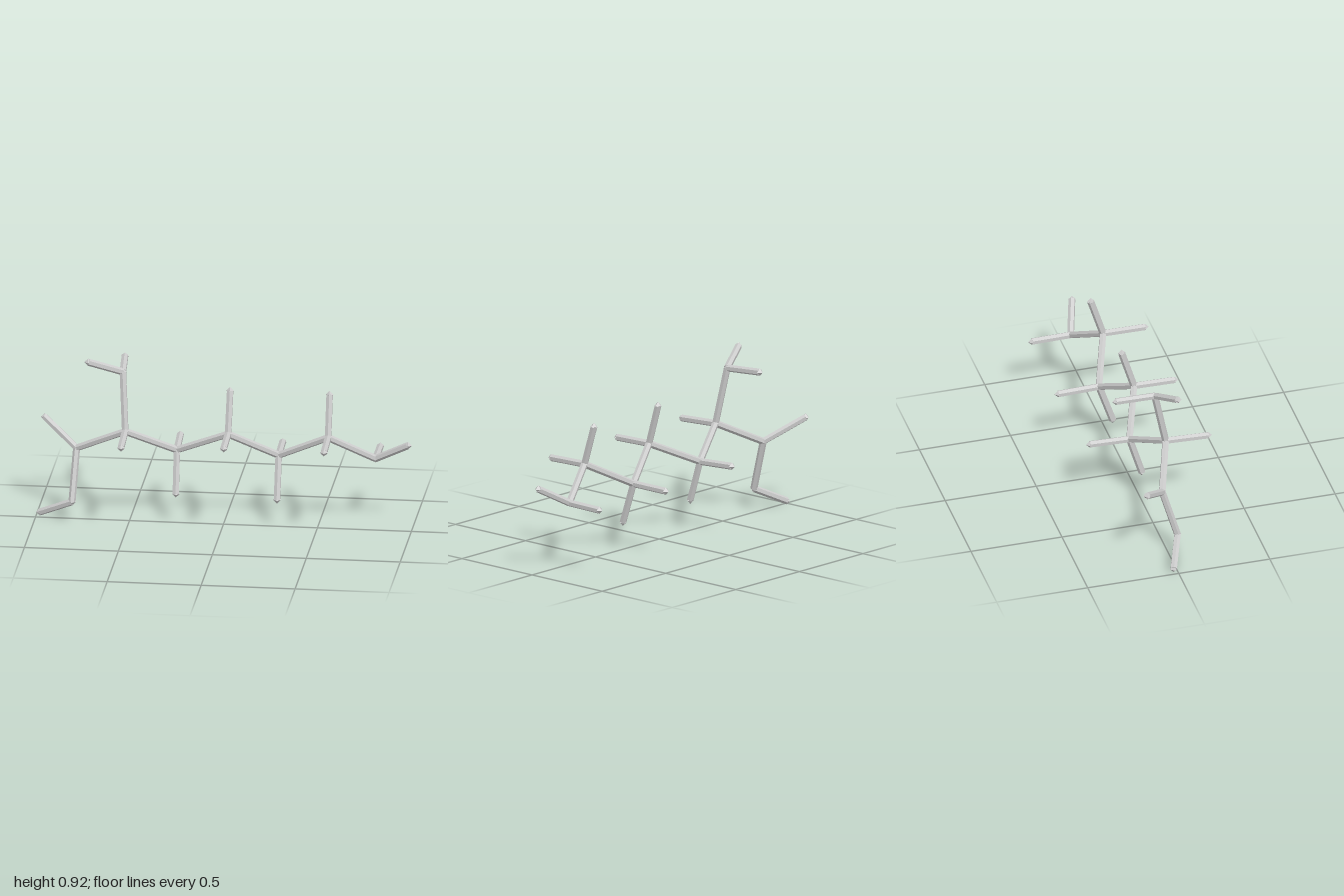
import * as THREE from 'three';

const BOND_RADIUS = 0.019;
const ATOM_RADIUS = 0.021;

// Atom centres: backbone carbons, side groups and hydrogens
const ATOMS = {
  c1: [0.80, 0.37, -0.085],
  c2: [0.56, 0.515, 0.025],
  c3: [0.285, 0.372, -0.075],
  c4: [0.03, 0.52, 0.045],
  c5: [-0.255, 0.385, -0.06],
  c6: [-0.515, 0.52, 0.065],
  acidCarbon: [-0.785, 0.385, -0.03],
  acidOxygen: [-0.97, 0.505, -0.165],
  hydroxylOxygen: [-0.80, 0.11, 0.05],
  hydroxylTip: [-0.98, 0.021, -0.022],
  amine: [-0.535, 0.83, 0.0],
  amineTipBack: [-0.55, 0.843, -0.218],
  amineTipSide: [-0.71, 0.903, 0.077],
  c1TipSide: [0.98, 0.47, -0.027],
  c1TipBack: [0.80, 0.367, -0.298],
  c2TipUp: [0.56, 0.732, -0.043],
  c2TipFront: [0.565, 0.51, 0.256],
  c3TipDown: [0.285, 0.148, 0.0],
  c3TipBack: [0.28, 0.37, -0.3],
  c4TipUp: [0.033, 0.74, -0.022],
  c4TipFront: [0.033, 0.515, 0.268],
  c5TipDown: [-0.253, 0.162, 0.008],
  c5TipBack: [-0.262, 0.396, -0.28],
  c6TipFront: [-0.51, 0.508, 0.3],
};

const BONDS = [
  'c1 c2', 'c2 c3', 'c3 c4', 'c4 c5', 'c5 c6', 'c6 acidCarbon', 'c6 amine',
  'acidCarbon acidOxygen', 'acidCarbon hydroxylOxygen', 'hydroxylOxygen hydroxylTip',
  'amine amineTipBack', 'amine amineTipSide',
  'c1 c1TipSide', 'c1 c1TipBack', 'c2 c2TipUp', 'c2 c2TipFront',
  'c3 c3TipDown', 'c3 c3TipBack', 'c4 c4TipUp', 'c4 c4TipFront',
  'c5 c5TipDown', 'c5 c5TipBack', 'c6 c6TipFront',
];

export function createModel() {
  const model = new THREE.Group();
  model.name = 'stickMolecule';
  const material = new THREE.MeshStandardMaterial({ color: 0xcccccc, flatShading: true });
  const up = new THREE.Vector3(0, 1, 0);

  // Small octahedral joints and tips
  const atomGeometry = new THREE.OctahedronGeometry(ATOM_RADIUS);
  for (const [name, position] of Object.entries(ATOMS)) {
    const atom = new THREE.Mesh(atomGeometry, material);
    atom.name = `${name}Joint`;
    atom.position.set(...position);
    model.add(atom);
  }

  // Six-sided rods joining pairs of atoms
  const bondGeometry = new THREE.CylinderGeometry(BOND_RADIUS, BOND_RADIUS, 1, 6);
  for (const pair of BONDS) {
    const [from, to] = pair.split(' ');
    const a = new THREE.Vector3(...ATOMS[from]);
    const b = new THREE.Vector3(...ATOMS[to]);
    const direction = b.clone().sub(a);
    const bond = new THREE.Mesh(bondGeometry, material);
    bond.name = `${from}To${to[0].toUpperCase()}${to.slice(1)}Bond`;
    bond.position.copy(a).lerp(b, 0.5);
    bond.scale.y = direction.length();
    bond.quaternion.setFromUnitVectors(up, direction.normalize());
    model.add(bond);
  }
  return model;
}
